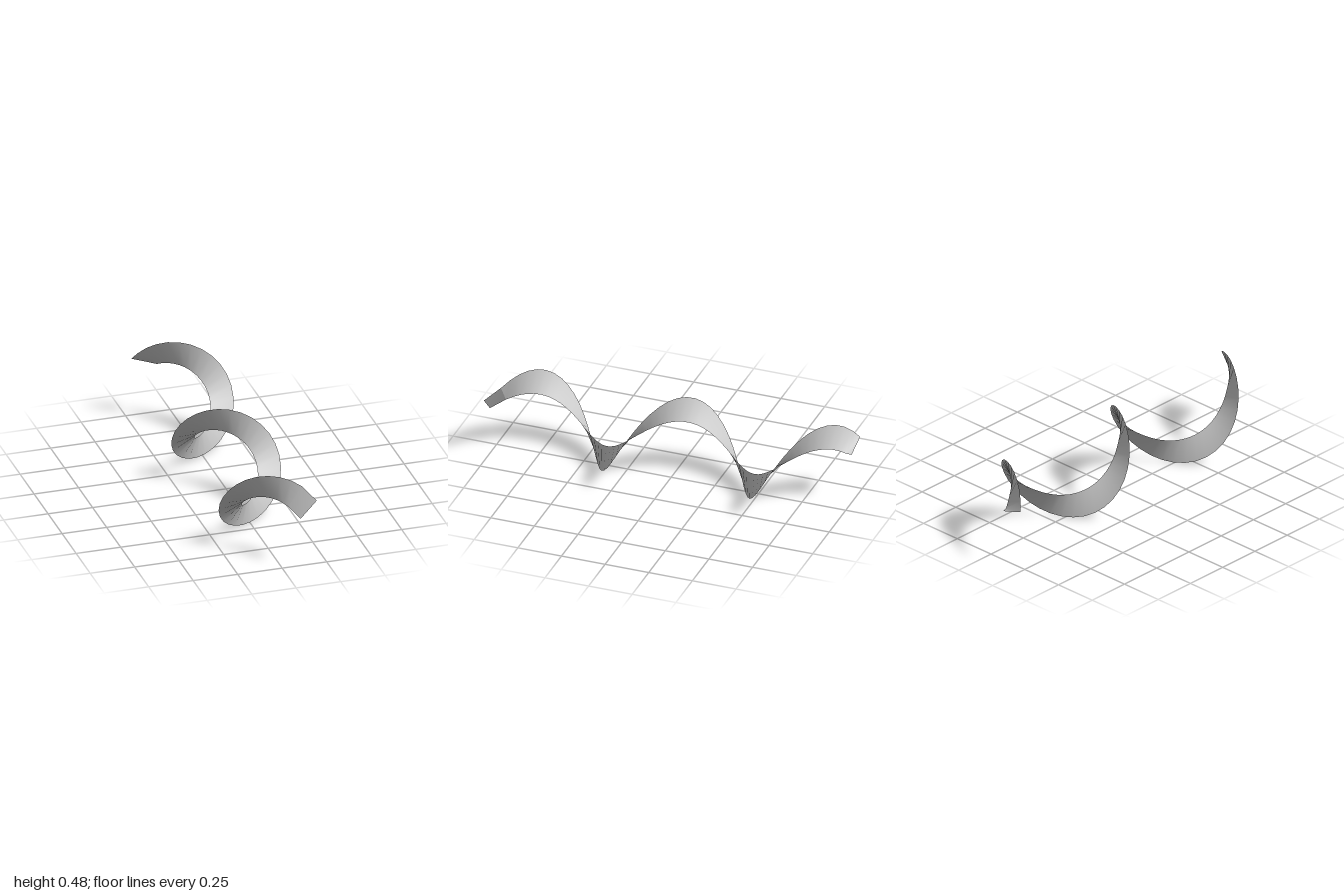
import * as THREE from 'three';

const INNER = 0.103, OUTER = 0.238, AXIS_Y = 0.238, PITCH = 0.845;

// Point on the helicoid at depth z and radius r
function helixPoint(r, z) {
  const a = (z / PITCH) * Math.PI * 2;
  return [r * Math.sin(a), AXIS_Y + r * Math.cos(a), z];
}

const section = (z) => [helixPoint(INNER, z), helixPoint(OUTER, z)];

// Joins a row of [inner, outer] cross-sections into an open strip
function ribbon(name, sections, material) {
  const geometry = new THREE.BufferGeometry();
  const index = [];
  for (let i = 0; i < sections.length - 1; i++) {
    const a = i * 2;
    index.push(a, a + 1, a + 2, a + 1, a + 3, a + 2);
  }
  geometry.setAttribute('position', new THREE.Float32BufferAttribute(sections.flat(2), 3));
  geometry.setIndex(index);
  geometry.computeVertexNormals();
  const mesh = new THREE.Mesh(geometry, material);
  mesh.name = name;
  return mesh;
}

export function createModel() {
  const group = new THREE.Group();
  group.name = 'spiralRibbon';
  const material = new THREE.MeshStandardMaterial({ color: 0xcccccc, side: THREE.DoubleSide });

  // Twisting band
  const zBack = -0.97, zFront = 0.925, steps = 60;
  const band = [];
  for (let i = 0; i <= steps; i++) band.push(section(zBack + ((zFront - zBack) * i) / steps));
  group.add(ribbon('spiralBand', band, material));

  // Flattened tabs closing both ends
  group.add(ribbon('frontEndTab', [
    section(zFront),
    [[0.103, 0.279, 1], [0.194, 0.375, 1]],
  ], material));
  group.add(ribbon('backEndTab', [
    [[-0.088, 0.295, -1], [-0.218, 0.337, -1]],
    section(zBack),
  ], material));

  return group;
}
